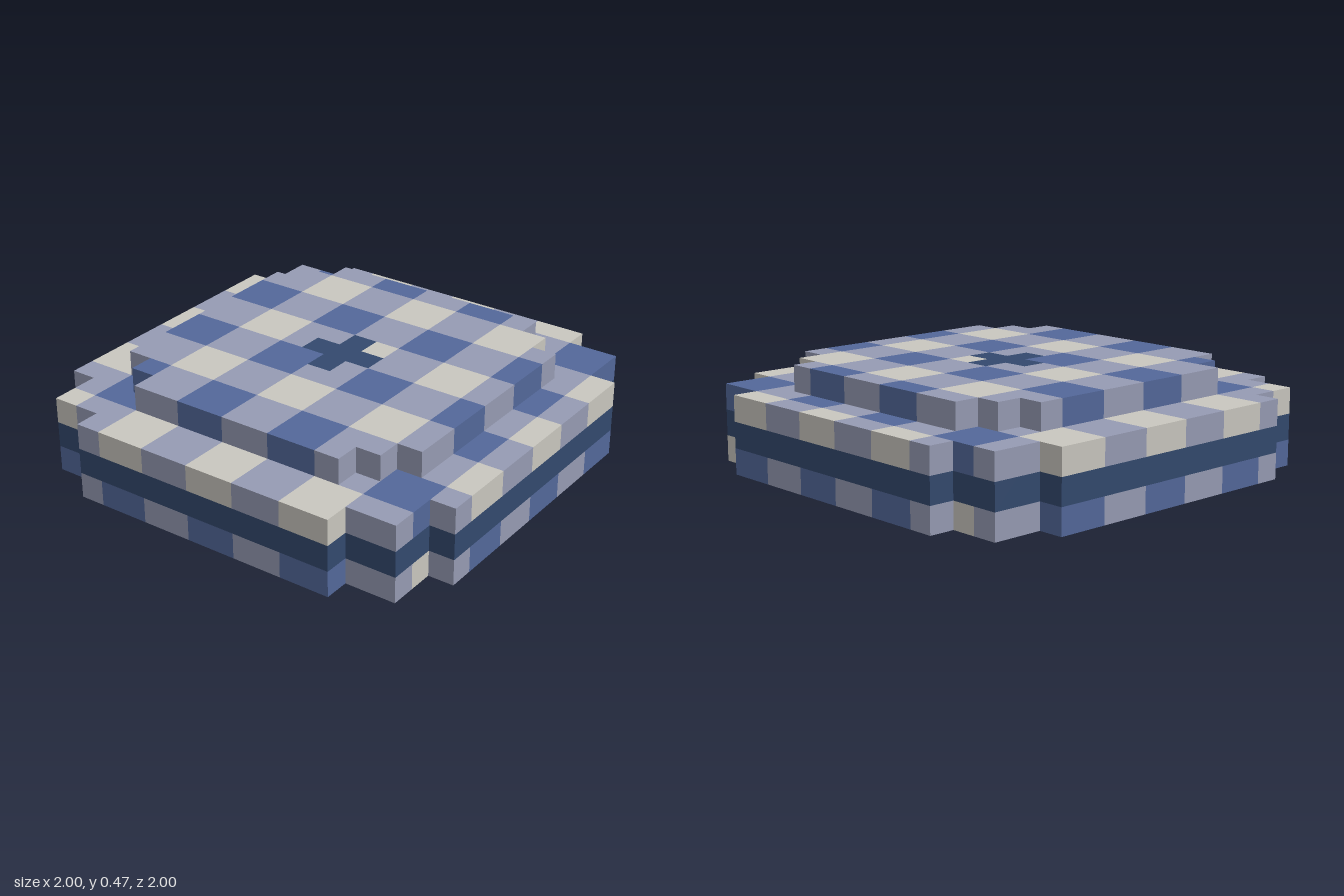
import * as THREE from 'three';
import { mergeGeometries } from 'three/addons/utils/BufferGeometryUtils.js';

const N = 17, C = 8, V = 2 / N; // grid cells, centre cell, cell size

const materials = {
  cream: new THREE.MeshStandardMaterial({ color: 0xc9c7bf }),
  lavender: new THREE.MeshStandardMaterial({ color: 0x969bb3 }),
  blue: new THREE.MeshStandardMaterial({ color: 0x53689a }),
  navy: new THREE.MeshStandardMaterial({ color: 0x33496e }),
};
for (const name in materials) materials[name].name = name;

const layers = ['cushionBase', 'pipingBand', 'cushionUpper', 'raisedTop'];

// Stepped round-cornered outline of each layer
function filled(i, y, k) {
  if (y < 0 || y > 3) return false;
  const a = Math.abs(i - C), b = Math.abs(k - C);
  const lo = Math.min(a, b), hi = Math.max(a, b);
  if (y === 3) return hi <= 4 || (hi === 5 && lo <= 5) || (hi === 6 && lo <= 4);
  return hi <= 7 || (hi === 8 && lo <= 5);
}

// Gingham check, inverted on the base; navy band and centre button
function colourAt(i, y, k) {
  if (y === 1) return 'navy';
  if (y === 3 && Math.abs(i - C) + Math.abs(k - C) <= 1) return 'navy';
  const n = (i >> 1) % 2 + (k >> 1) % 2;
  return ['cream', 'lavender', 'blue'][y === 0 ? 2 - n : n];
}

// One square for each side of a cell
function side(dir, rx, ry) {
  const geo = new THREE.PlaneGeometry(V, V).translate(0, 0, V / 2);
  return { dir, geo: geo.rotateX(rx).rotateY(ry) };
}
const H = Math.PI / 2;
const sides = [
  side([0, 0, 1], 0, 0), side([1, 0, 0], 0, H),
  side([0, 0, -1], 0, 2 * H), side([-1, 0, 0], 0, -H),
  side([0, 1, 0], -H, 0), side([0, -1, 0], H, 0),
];

export function createModel() {
  const model = new THREE.Group();
  model.name = 'ginghamCushion';
  layers.forEach((name, y) => {
    const layer = new THREE.Group();
    layer.name = name;
    const faces = { cream: [], lavender: [], blue: [], navy: [] };
    // Keep only the outer faces of each cell
    for (let i = 0; i < N; i++) for (let k = 0; k < N; k++) {
      if (!filled(i, y, k)) continue;
      for (const { dir, geo } of sides) {
        if (filled(i + dir[0], y + dir[1], k + dir[2])) continue;
        faces[colourAt(i, y, k)].push(
          geo.clone().translate((i - C) * V, (y + 0.5) * V, (k - C) * V));
      }
    }
    for (const colour in faces) {
      if (!faces[colour].length) continue;
      const mesh = new THREE.Mesh(mergeGeometries(faces[colour]), materials[colour]);
      mesh.name = y === 3 && colour === 'navy' ? 'centreButton' : `${name}_${colour}Checks`;
      layer.add(mesh);
    }
    model.add(layer);
  });
  return model;
}
